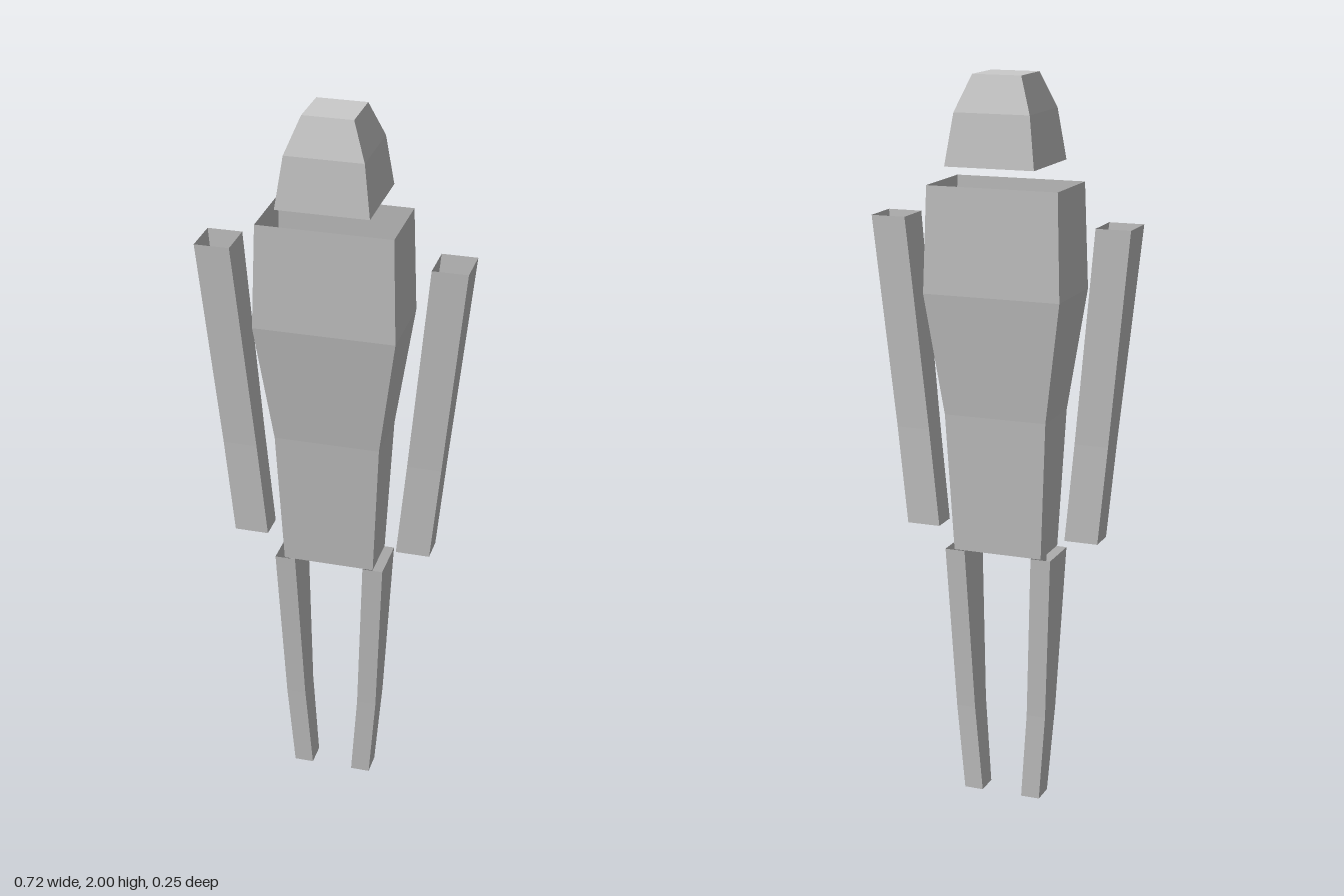
import * as THREE from 'three';

const material = new THREE.MeshStandardMaterial({
  color: 0xcccccc, flatShading: true, side: THREE.DoubleSide,
});

// Four-sided open tube through rings of [y, xMin, xMax, half depth], listed from bottom to top
function boxTube(name, rings, capTop = false) {
  const positions = [];
  const corners = rings.map(([y, x0, x1, d]) => [[x0, y, d], [x1, y, d], [x1, y, -d], [x0, y, -d]]);
  const quad = (a, b, c, d) => positions.push(...a, ...b, ...c, ...a, ...c, ...d);
  for (let i = 0; i < corners.length - 1; i++) {
    for (let k = 0; k < 4; k++) {
      const n = (k + 1) % 4;
      quad(corners[i][k], corners[i][n], corners[i + 1][n], corners[i + 1][k]);
    }
  }
  if (capTop) quad(...corners[corners.length - 1]);
  const geometry = new THREE.BufferGeometry();
  geometry.setAttribute('position', new THREE.Float32BufferAttribute(positions, 3));
  geometry.computeVertexNormals();
  const mesh = new THREE.Mesh(geometry, material);
  mesh.name = name;
  return mesh;
}

// Rings of a limb on the given side: +1 is left, -1 is right
const onSide = (rings, side) => rings.map(([y, inner, outer, d]) =>
  side > 0 ? [y, inner, outer, d] : [y, -outer, -inner, d]);

export function createModel() {
  const model = new THREE.Group();
  model.name = 'figure';

  // Head: open below, flat on top
  model.add(boxTube('head', [
    [1.768, -0.123, 0.123, 0.123],
    [1.905, -0.104, 0.104, 0.104],
    [2, -0.067, 0.067, 0.067],
  ], true));

  // Torso: open at the neck and hips
  model.add(boxTube('torso', [
    [0.717, -0.125, 0.125, 0.066],
    [1.1, -0.143, 0.143, 0.084],
    [1.43, -0.19, 0.19, 0.113],
    [1.715, -0.181, 0.181, 0.106],
  ]));

  // Arms and legs: open sleeves
  const arm = [
    [0.768, 0.182, 0.275, 0.037],
    [1.04, 0.209, 0.302, 0.039],
    [1.62, 0.266, 0.361, 0.056],
  ];
  const leg = [
    [0, 0.058, 0.111, 0.033],
    [0.25, 0.077, 0.131, 0.041],
    [0.715, 0.096, 0.152, 0.066],
  ];
  for (const [label, side] of [['left', 1], ['right', -1]]) {
    model.add(boxTube(label + 'Arm', onSide(arm, side)));
    model.add(boxTube(label + 'Leg', onSide(leg, side)));
  }
  return model;
}
